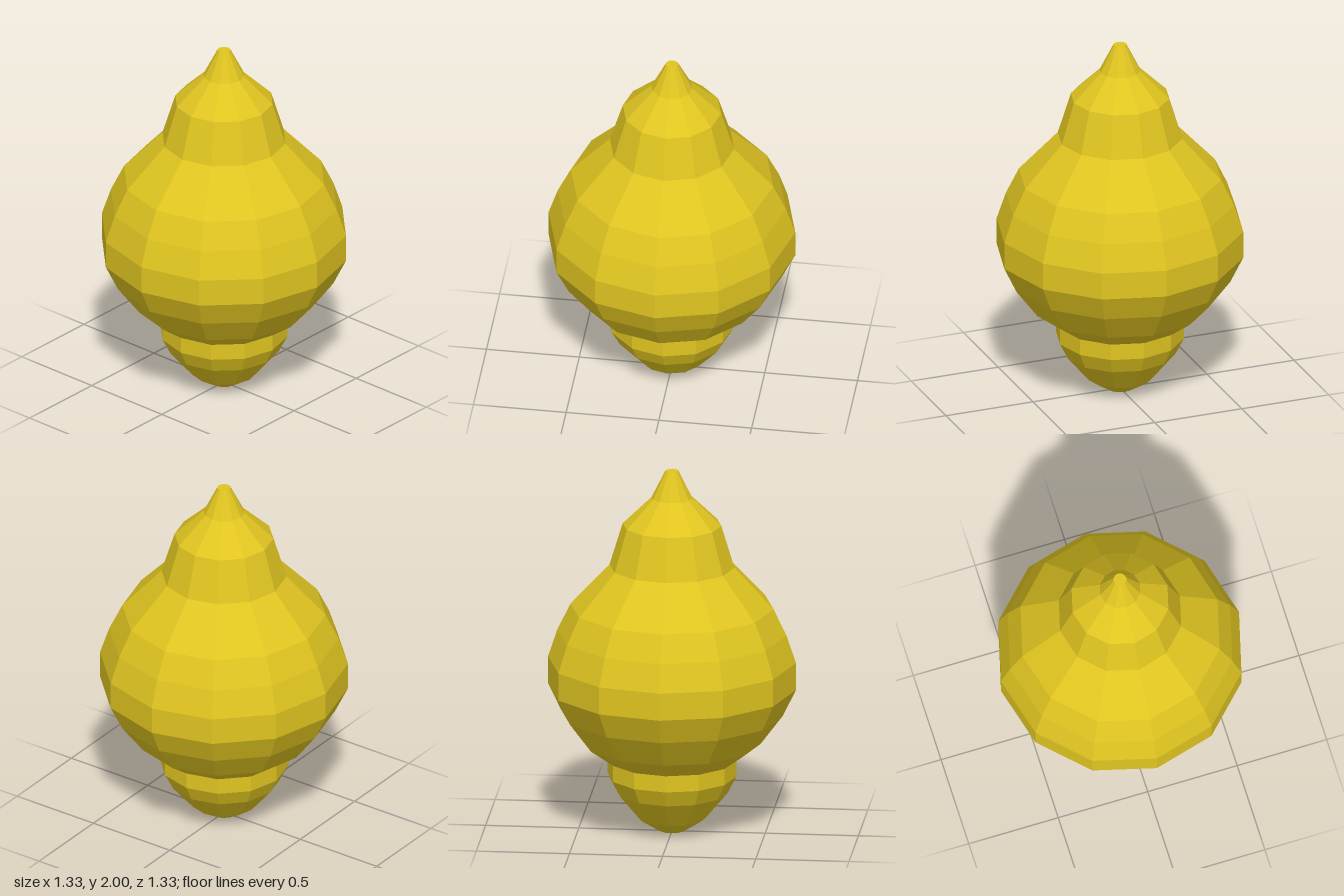
import * as THREE from 'three';

const SIDES = 12;

export function createModel() {
  const model = new THREE.Group();
  const gold = new THREE.MeshStandardMaterial({ color: 0xe0c520, flatShading: true });

  // Turned part: profile of [radius, height] from bottom to top
  function turned(name, profile) {
    const points = profile.map(([r, y]) => new THREE.Vector2(r, y));
    const mesh = new THREE.Mesh(new THREE.LatheGeometry(points, SIDES), gold);
    mesh.name = name;
    model.add(mesh);
  }

  // Tapered foot with a straight collar
  turned('foot', [[0, 0], [0.07, 0.005], [0.18, 0.075], [0.3, 0.22], [0.345, 0.31], [0.345, 0.4]]);

  // Bulbous body
  turned('body', [
    [0.345, 0.4], [0.475, 0.495], [0.595, 0.655], [0.665, 0.8], [0.665, 0.95],
    [0.615, 1.1], [0.545, 1.245], [0.335, 1.47],
  ]);

  // Shouldered neck
  turned('neck', [[0.335, 1.47], [0.265, 1.7], [0.11, 1.85]]);

  // Pointed tip with a small flat top
  turned('tip', [[0.11, 1.85], [0.035, 2], [0, 2]]);

  return model;
}
